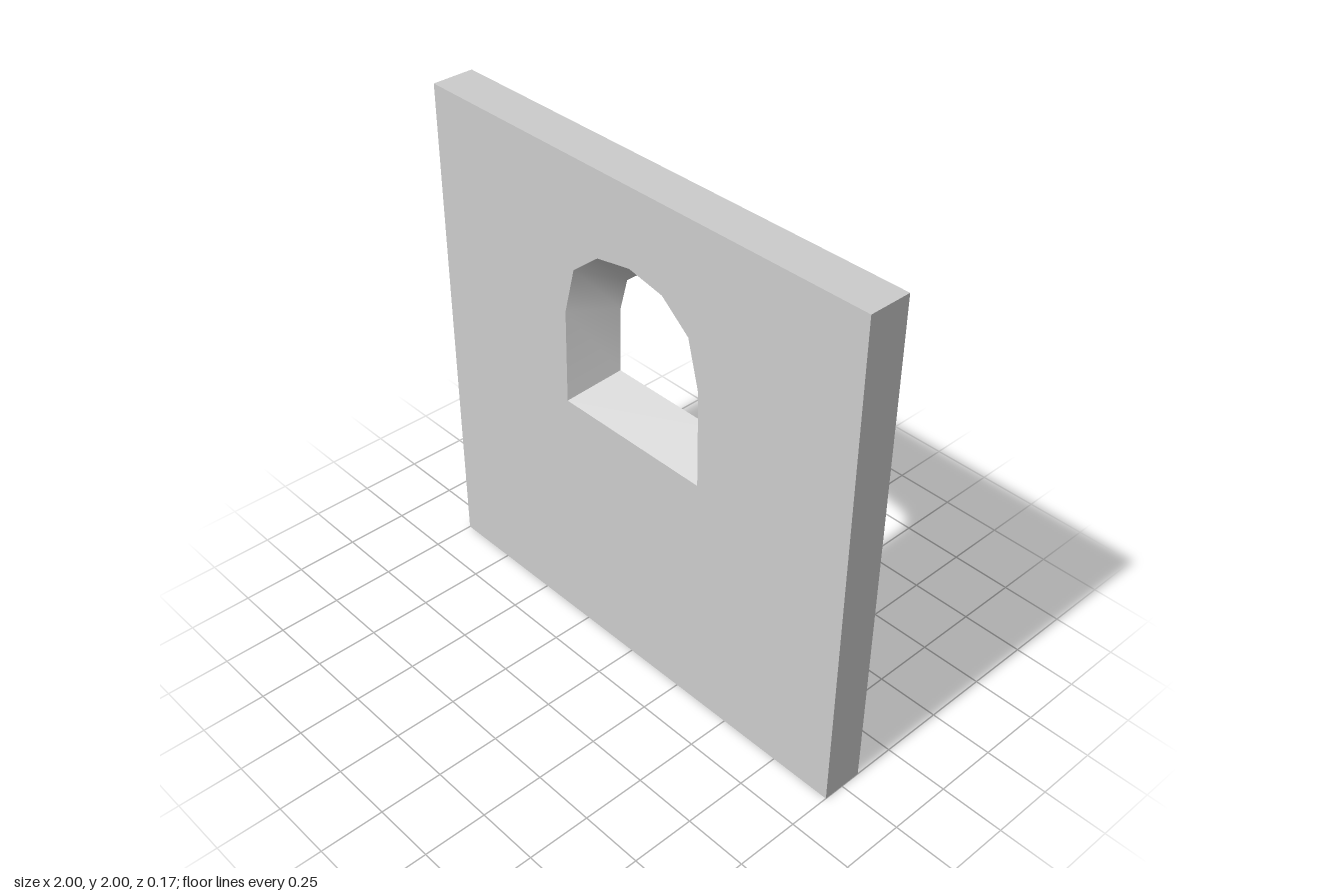
import * as THREE from 'three';
import { toCreasedNormals } from 'three/addons/utils/BufferGeometryUtils.js';

const HALF_DEPTH = 0.083;
const material = new THREE.MeshStandardMaterial({ color: 0xcccccc });

// Full arch loop from its left half (sill corner up to the crown), clockwise from the front
function archLoop(half) {
  const mirrored = half.slice(0, -1).reverse().map(([x, y]) => [-x, y]);
  return [...half, ...mirrored];
}

// Flat wall face with an arched hole
function wallFace(outline, opening) {
  const toPoints = (loop) => loop.map(([x, y]) => new THREE.Vector2(x, y));
  const shape = new THREE.Shape(toPoints(outline));
  shape.holes.push(new THREE.Path(toPoints(opening)));
  return new THREE.ShapeGeometry(shape).translate(0, 0, HALF_DEPTH);
}

// Band joining a front loop to a back loop; rounded bends stay smooth, corners sharp
function band(front, back) {
  const positions = [];
  front.forEach((a, i) => {
    const j = (i + 1) % front.length;
    const f0 = [...a, HALF_DEPTH], f1 = [...front[j], HALF_DEPTH];
    const b0 = [...back[i], -HALF_DEPTH], b1 = [...back[j], -HALF_DEPTH];
    positions.push(...f0, ...b0, ...f1, ...f1, ...b0, ...b1);
  });
  const geometry = new THREE.BufferGeometry();
  geometry.setAttribute('position', new THREE.Float32BufferAttribute(positions, 3));
  geometry.computeVertexNormals();
  return toCreasedNormals(geometry, Math.PI / 5);
}

export function createModel() {
  const group = new THREE.Group();
  group.name = 'wallWithArchedWindow';

  const outline = [[-1, 0], [1, 0], [1, 2], [-1, 2]];
  // The opening narrows from front to back
  const frontArch = archLoop([[-0.333, 1], [-0.328, 1.38], [-0.278, 1.57], [-0.155, 1.67], [0, 1.7]]);
  const backArch = archLoop([[-0.233, 1.105], [-0.228, 1.37], [-0.193, 1.5], [-0.108, 1.57], [0, 1.59]]);

  const parts = {
    frontFace: wallFace(outline, frontArch),
    backFace: wallFace(outline, backArch).rotateY(Math.PI),
    outerEdges: band(outline, outline),
    windowReveal: band(frontArch, backArch),
  };
  for (const [name, geometry] of Object.entries(parts)) {
    const mesh = new THREE.Mesh(geometry, material);
    mesh.name = name;
    group.add(mesh);
  }
  return group;
}
